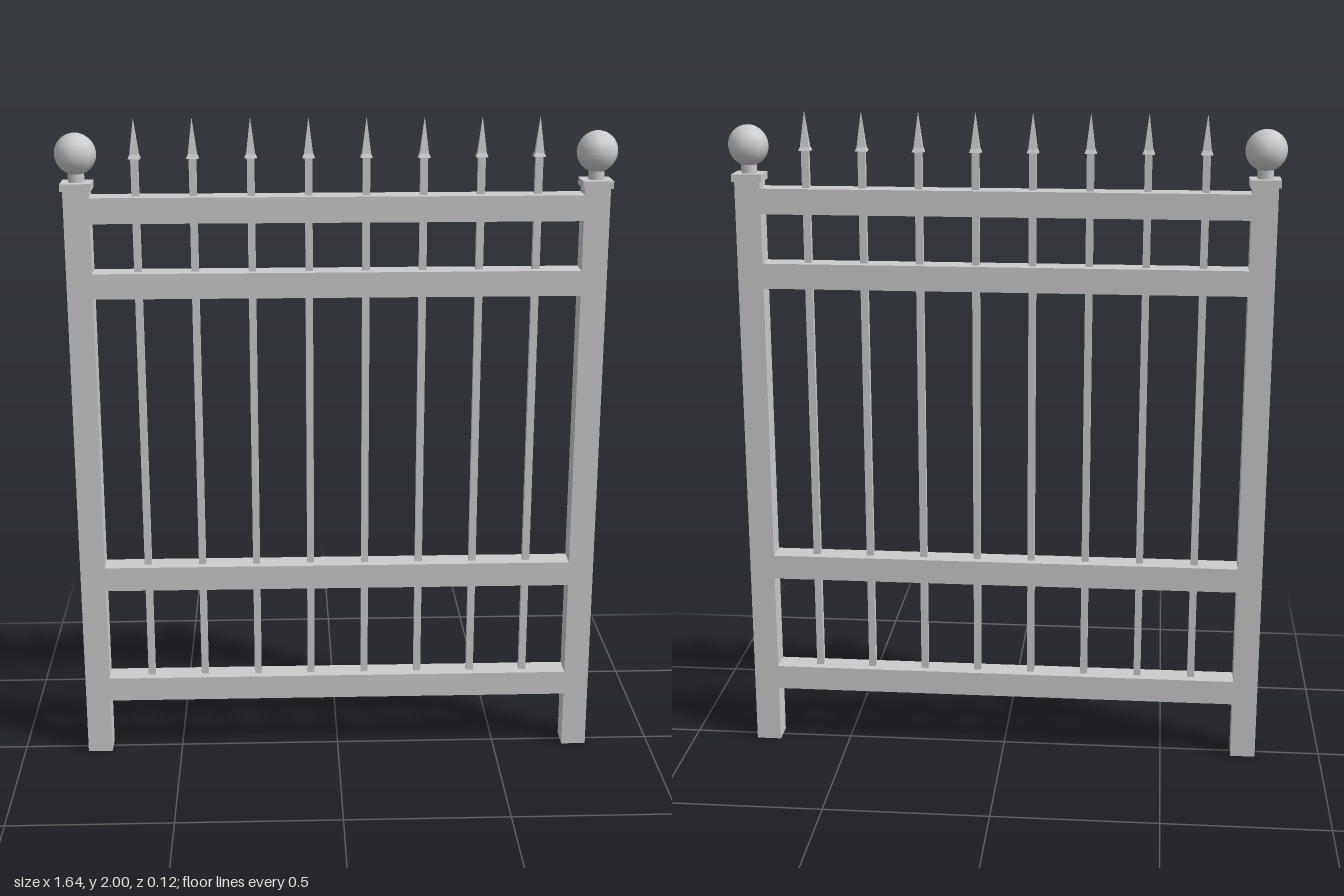
import * as THREE from 'three';

export function createModel() {
  const gate = new THREE.Group();
  gate.name = 'gatePanel';
  const smooth = new THREE.MeshStandardMaterial({ color: 0xcccccc });
  const flat = new THREE.MeshStandardMaterial({ color: 0xcccccc, flatShading: true });

  function add(parent, name, geometry, x, y, material = flat) {
    const mesh = new THREE.Mesh(geometry, material);
    mesh.name = name;
    mesh.position.set(x, y, 0);
    parent.add(mesh);
    return mesh;
  }

  // Square section tapering from half-width bottom to half-width top
  function squareTaper(top, bottom, height) {
    return new THREE.CylinderGeometry(top * Math.SQRT2, bottom * Math.SQRT2, height, 4)
      .rotateY(Math.PI / 4);
  }

  // Posts with square caps, necks and ball finials
  for (const side of [-1, 1]) {
    const post = new THREE.Group();
    post.name = side > 0 ? 'leftPost' : 'rightPost';
    post.position.x = side * 0.76;
    add(post, 'postShaft', new THREE.BoxGeometry(0.076, 1.8, 0.076), 0, 0.9);
    add(post, 'postCap', new THREE.BoxGeometry(0.09, 0.022, 0.09), 0, 1.808);
    add(post, 'finialNeck', new THREE.CylinderGeometry(0.024, 0.024, 0.04, 8), 0, 1.835, smooth);
    add(post, 'finialBall', new THREE.SphereGeometry(0.061, 8, 16), 0, 1.9, smooth);
    gate.add(post);
  }

  // Horizontal rails, flush with the posts
  for (const y of [0.215, 0.589, 1.515, 1.739]) {
    add(gate, 'rail', new THREE.BoxGeometry(1.446, 0.076, 0.076), 0, y);
  }

  // Upright bars with collared spear tips
  for (let i = 0; i < 8; i++) {
    const bar = new THREE.Group();
    bar.name = 'spearBar';
    bar.position.x = (i - 3.5) * 0.1685;
    add(bar, 'barShaft', new THREE.BoxGeometry(0.022, 1.66, 0.022), 0, 1.06);
    add(bar, 'spearCollar', squareTaper(0.013, 0.018, 0.012), 0, 1.892);
    add(bar, 'spearTip', squareTaper(0.0005, 0.013, 0.102), 0, 1.949);
    gate.add(bar);
  }

  return gate;
}
